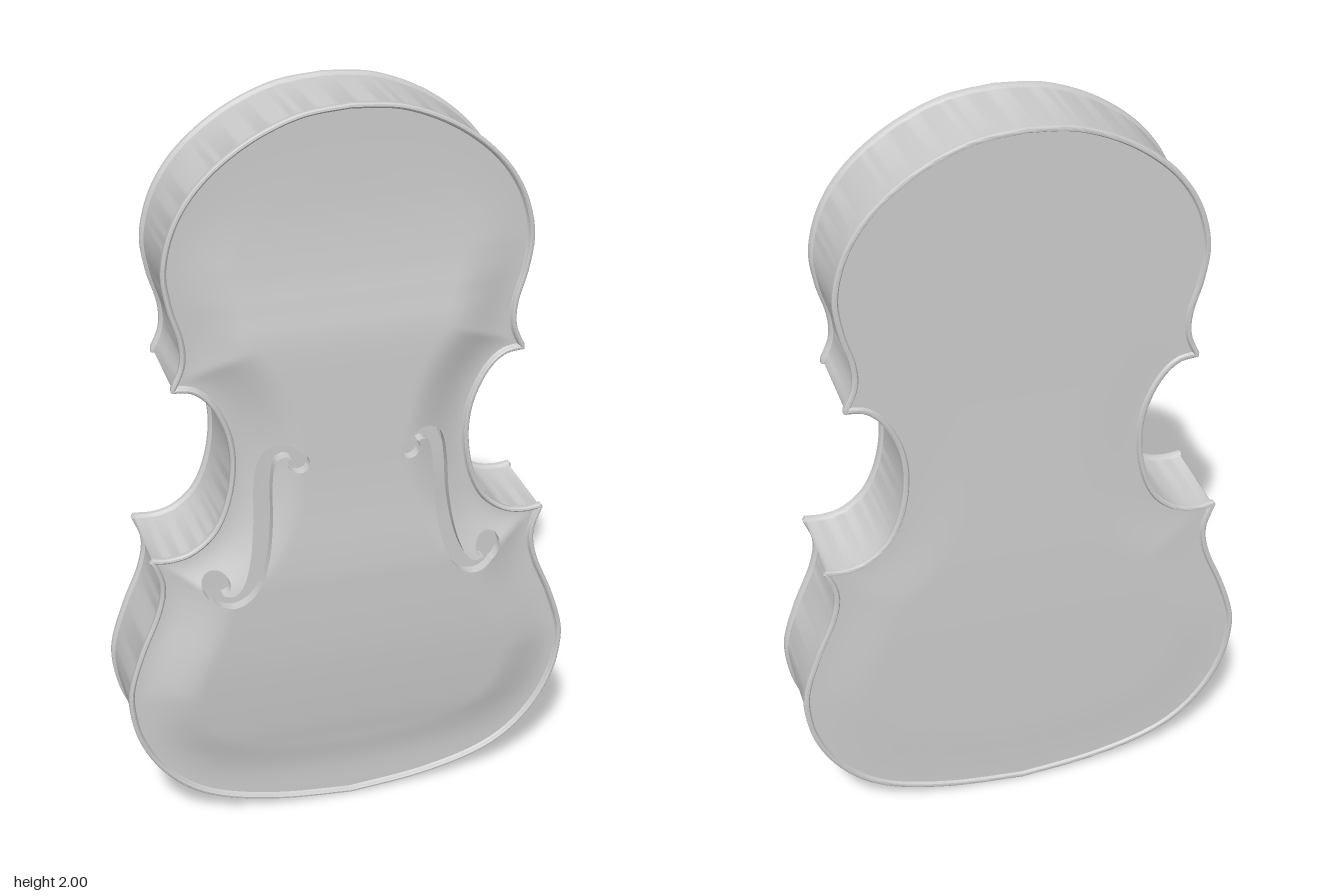
import * as THREE from 'three';
import { toCreasedNormals } from 'three/addons/utils/BufferGeometryUtils.js';

const V = (x, y) => new THREE.Vector2(x, y);
const grey = (side = THREE.FrontSide) => new THREE.MeshStandardMaterial({ color: 0xcccccc, side });

// Half outline: upper bout, waist and lower bout meet at sharp corners
const bouts = [
  [[0, 2], [0.13, 1.985], [0.26, 1.93], [0.37, 1.845], [0.44, 1.745], [0.472, 1.63], [0.462, 1.53], [0.437, 1.44], [0.435, 1.375], [0.458, 1.318]],
  [[0.458, 1.304], [0.405, 1.295], [0.36, 1.25], [0.325, 1.17], [0.315, 1.08], [0.33, 0.98], [0.365, 0.9], [0.42, 0.852], [0.475, 0.838], [0.524, 0.842]],
  [[0.531, 0.832], [0.507, 0.76], [0.52, 0.68], [0.565, 0.57], [0.597, 0.47], [0.603, 0.4], [0.585, 0.3], [0.535, 0.2], [0.455, 0.115], [0.35, 0.06], [0.19, 0.022], [0, 0.004]],
];

function makeOutline() {
  const half = bouts.flatMap((b) => new THREE.SplineCurve(b.map((p) => V(...p))).getSpacedPoints(56));
  const mirrored = half.slice(1, -1).reverse().map((p) => V(-p.x, p.y));
  return [...half, ...mirrored];
}

// Moves a clockwise loop inward by d
function inset(loop, d) {
  const n = loop.length;
  return loop.map((p, i) => {
    const t = loop[(i + 1) % n].clone().sub(loop[(i + n - 1) % n]).normalize();
    return V(p.x + t.y * d, p.y - t.x * d);
  });
}

function inside(loop, x, y) {
  let hit = false;
  for (let i = 0, j = loop.length - 1; i < loop.length; j = i++) {
    const a = loop[i], b = loop[j];
    if (a.y > y !== b.y > y && x < ((b.x - a.x) * (y - a.y)) / (b.y - a.y) + a.x) hit = !hit;
  }
  return hit;
}

function nearest(loop, x, y) {
  let best = Infinity, bx = 0, by = 0;
  for (let i = 0, j = loop.length - 1; i < loop.length; j = i++) {
    const a = loop[j], dx = loop[i].x - a.x, dy = loop[i].y - a.y;
    const t = THREE.MathUtils.clamp(((x - a.x) * dx + (y - a.y) * dy) / (dx * dx + dy * dy || 1), 0, 1);
    const px = a.x + dx * t, py = a.y + dy * t, d = Math.hypot(px - x, py - y);
    if (d < best) { best = d; bx = px; by = py; }
  }
  return { d: best, x: bx, y: by };
}

// Sound hole outline: a swept stroke with a round eye at each end
function makeSoundHole() {
  const path = new THREE.SplineCurve([[0.147, 1.083], [0.158, 1.11], [0.19, 1.117], [0.222, 1.09], [0.235, 1.02], [0.239, 0.92],
    [0.253, 0.82], [0.28, 0.745], [0.318, 0.711], [0.362, 0.72], [0.368, 0.756]].map((p) => V(...p)));
  const N = 110, eyes = [0.028, 0.037], left = [], right = [];
  const ends = [path.getPoint(0), path.getPoint(1)];
  for (let i = 0; i <= N; i++) {
    const t = i / N, p = path.getPoint(t), d = path.getTangent(t);
    let r = 0.01 + 0.013 * Math.sin(Math.PI * t);
    const e = t < 0.5 ? 0 : 1, s = p.distanceTo(ends[e]);
    if (s < eyes[e] && (t < 0.25 || t > 0.75)) r = Math.max(r, Math.sqrt(eyes[e] ** 2 - s * s));
    left.push(V(p.x - d.y * r, p.y + d.x * r));
    right.push(V(p.x + d.y * r, p.y - d.x * r));
  }
  const cap = (e, sign) => {
    const d = path.getTangent(e), a0 = Math.atan2(d.y, d.x) + sign * Math.PI / 2;
    return Array.from({ length: 9 }, (_, k) => {
      const a = a0 - Math.PI * (k + 1) / 10;
      return V(ends[e].x + Math.cos(a) * eyes[e], ends[e].y + Math.sin(a) * eyes[e]);
    });
  };
  return [...left, ...cap(1, 1), ...right.reverse(), ...cap(0, -1)];
}

// Lengthwise arch of the front
const arch = new THREE.SplineCurve([[0, 0.096], [0.1, 0.1], [0.2, 0.113], [0.3, 0.128], [0.5, 0.148], [0.7, 0.157], [0.8, 0.157],
  [1, 0.147], [1.2, 0.143], [1.4, 0.139], [1.5, 0.126], [1.6, 0.112], [1.75, 0.1], [2, 0.096]].map((p) => V(...p)));
const archTable = arch.getPoints(400);
function archAt(y) {
  const i = Math.max(1, archTable.findIndex((p) => p.x >= y));
  const a = archTable[i - 1], b = archTable[i];
  return THREE.MathUtils.mapLinear(y, a.x, b.x, a.y, b.y);
}

// Grid plate trimmed to a loop; edge vertices slide onto the loop and holes
function plateGeometry(loop, hole, step, height, flip) {
  const nx = Math.ceil(1.24 / step), ny = Math.ceil(2.02 / step);
  const pos = [], solid = [], index = [];
  for (let j = 0; j <= ny; j++) {
    for (let i = 0; i <= nx; i++) {
      let x = (i - nx / 2) * step, y = j * step - 0.005, ok = inside(loop, x, y);
      if (!ok) {
        ({ x, y } = nearest(loop, x, y));
      } else if (hole && inside(hole, Math.abs(x), y)) {
        const q = nearest(hole, Math.abs(x), y);
        x = Math.sign(x) * q.x;
        y = q.y;
        ok = false;
      }
      solid.push(ok);
      pos.push(x, y, height(x, y));
    }
  }
  for (let j = 0; j < ny; j++) {
    for (let i = 0; i < nx; i++) {
      const a = j * (nx + 1) + i, b = a + 1, c = a + nx + 1, d = c + 1;
      if (![a, b, c, d].some((k) => solid[k])) continue;
      if (flip) index.push(a, c, b, b, c, d);
      else index.push(a, b, c, b, d, c);
    }
  }
  const g = new THREE.BufferGeometry();
  g.setAttribute('position', new THREE.Float32BufferAttribute(pos, 3));
  g.setIndex(index);
  g.computeVertexNormals();
  return g;
}

// Skins a list of closed rings
function skin(rings) {
  const n = rings[0].length, index = [];
  for (let j = 0; j < rings.length - 1; j++) {
    for (let i = 0; i < n; i++) {
      const a = j * n + i, c = j * n + ((i + 1) % n), b = a + n, d = c + n;
      index.push(a, c, b, c, d, b);
    }
  }
  const g = new THREE.BufferGeometry();
  g.setAttribute('position', new THREE.Float32BufferAttribute(rings.flat(2), 3));
  g.setIndex(index);
  return toCreasedNormals(g, 0.6);
}

export function createModel() {
  const body = new THREE.Group();
  body.name = 'violinBody';
  const add = (name, geometry, material) => {
    const m = new THREE.Mesh(geometry, material);
    m.name = name;
    body.add(m);
    return m;
  };
  const outline = makeOutline(), edge = inset(outline, 0.016), hole = makeSoundHole();
  const rise = (x, y) => THREE.MathUtils.smoothstep(nearest(edge, x, y).d, 0, 0.17);
  const frontZ = (x, y) => 0.097 + (archAt(y) - 0.097) * rise(x, y);
  const backZ = (x, y) => -0.145 - 0.01 * rise(x, y) * Math.exp(-(((y - 0.65) / 0.5) ** 2));

  // Ribs with the overhanging, rounded plate edges: [inset, z]
  const section = [[0.017, 0.096], [0.014, 0.099], [0.012, 0.107], [0.008, 0.11], [0.003, 0.109], [0, 0.105], [0, 0.094], [0.003, 0.089],
    [0.008, 0.086], [0.008, -0.131], [0.003, -0.134], [0, -0.138], [0, -0.149], [0.003, -0.152], [0.008, -0.153], [0.012, -0.152], [0.014, -0.147], [0.017, -0.144]];
  add('ribsAndEdges', skin(section.map(([d, z]) => inset(outline, d).map((p) => [p.x, p.y, z]))), grey(THREE.DoubleSide));

  // Arched front with sound holes, and the nearly flat back
  add('frontPlate', plateGeometry(edge, hole, 0.01, frontZ, false), grey(THREE.DoubleSide));
  add('backPlate', plateGeometry(edge, null, 0.02, backZ, true), grey(THREE.DoubleSide));

  // Cut walls of both sound holes
  for (const [side, name] of [[1, 'leftSoundHoleWall'], [-1, 'rightSoundHoleWall']]) {
    const ring = (drop) => hole.map((p) => [p.x * side, p.y, frontZ(p.x, p.y) - drop]);
    add(name, skin([ring(0), ring(0.03)]), grey(THREE.DoubleSide));
  }
  return body;
}
